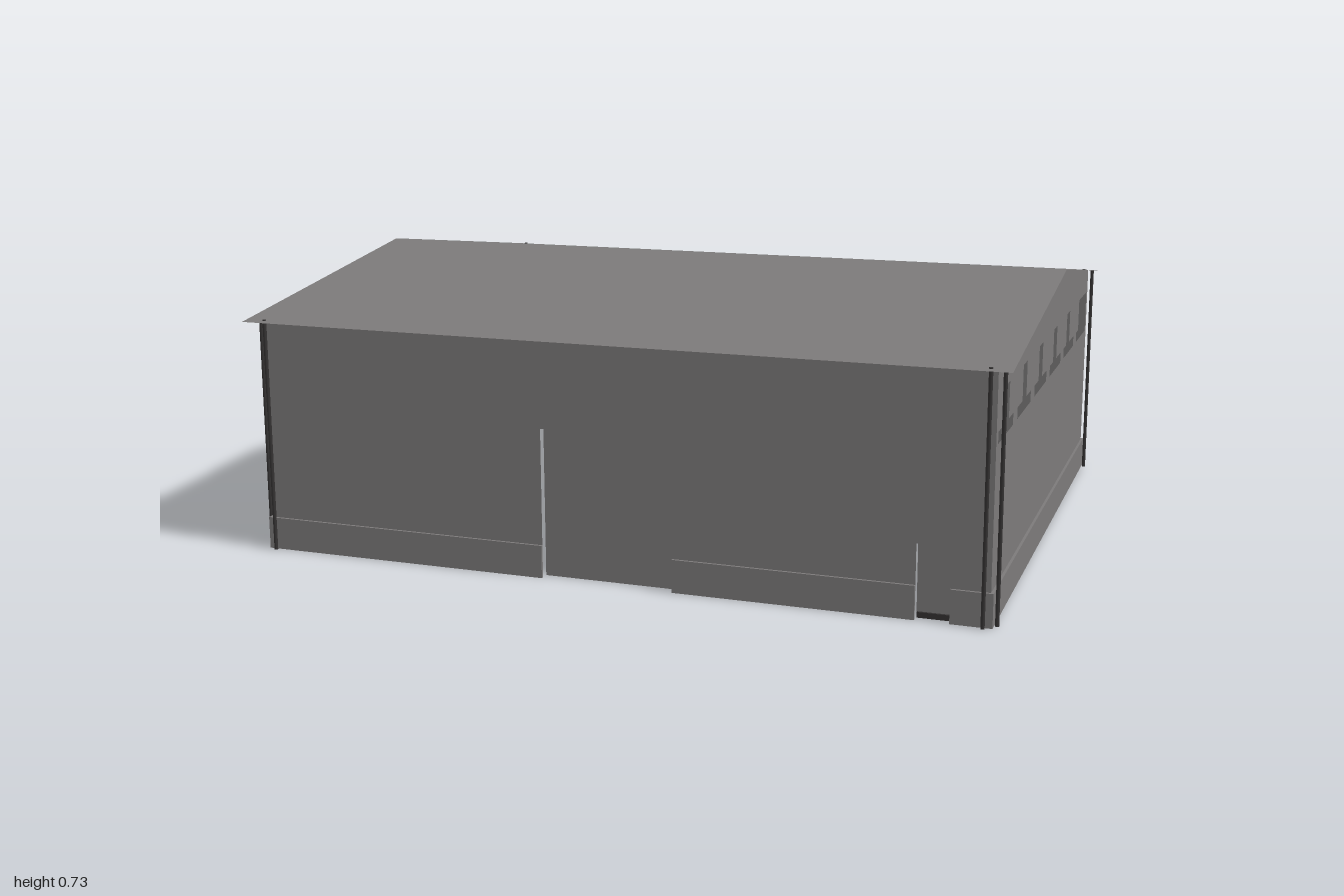
import * as THREE from 'three';

export function createModel() {
  const group = new THREE.Group();
  group.name = 'warehouse';
  const grey = new THREE.MeshStandardMaterial({ color: 0x7c7a7a, side: THREE.DoubleSide });
  grey.name = 'sheet grey';
  const dark = new THREE.MeshStandardMaterial({ color: 0x343232 });
  dark.name = 'pipe dark grey';

  const W = 0.962, D = 0.79;            // half width and half depth of the walls
  const RIDGE = 0.733, EAVE = 0.616, RX = 1, RZ = 0.826;
  const roofY = z => RIDGE - (RIDGE - EAVE) * Math.abs(z) / RZ;
  const INSET = 0.02, PLINTH_H = 0.085, PLINTH_T = 0.007;

  const add = (name, geo, mat, x = 0, y = 0, z = 0, ry = 0) => {
    const m = new THREE.Mesh(geo, mat);
    m.name = name;
    m.position.set(x, y, z);
    m.rotation.y = ry;
    group.add(m);
    return m;
  };
  const shapeOf = pts => new THREE.Shape(pts.map(p => new THREE.Vector2(...p)));
  const rect = (x0, x1, y0, y1) => [[x0, y0], [x1, y0], [x1, y1], [x0, y1]];

  // Front wall with notches for the main door and the small side door
  const top = roofY(D);
  const doors = [
    { name: 'mainDoor', x0: -0.176, x1: 0.174, h: 0.387 },
    { name: 'sideDoor', x0: 0.783, x1: 0.867, h: 0.187 },
  ];
  const outline = [[-W, 0]];
  for (const d of doors) outline.push([d.x0, 0], [d.x0, d.h], [d.x1, d.h], [d.x1, 0]);
  outline.push([W, 0], [W, top], [-W, top]);
  add('frontWall', new THREE.ShapeGeometry(shapeOf(outline)), grey, 0, 0, D);
  add('backWall', new THREE.ShapeGeometry(shapeOf(rect(-W, W, 0, top))), grey, 0, 0, -D, Math.PI);

  // Door panels set back behind their openings
  for (const d of doors) {
    add(d.name, new THREE.ShapeGeometry(shapeOf(rect(d.x0, d.x1, 0, d.h))), grey, 0, 0, D - INSET);
  }
  add('sideDoorSill', new THREE.BoxGeometry(0.08, 0.014, 0.006), dark, 0.825, 0.007, D - INSET + 0.004);

  // Gable walls with a row of six windows, panes set back
  const wy0 = 0.435, wy1 = 0.555, half = 0.102;
  for (const s of [1, -1]) {
    const side = s > 0 ? 'left' : 'right';
    const gable = shapeOf([[-D, 0], [D, 0], [D, top], [0, RIDGE], [-D, top]]);
    for (let i = 0; i < 6; i++) {
      const c = (i - 2.5) * 0.2655;
      const r = rect(c - half, c + half, wy0, wy1);
      gable.holes.push(new THREE.Path(r.map(p => new THREE.Vector2(...p))));
      add(side + 'WindowPane', new THREE.ShapeGeometry(shapeOf(r)), grey,
        s * (W - INSET), 0, 0, s * Math.PI / 2);
    }
    add(side + 'GableWall', new THREE.ShapeGeometry(gable), grey, s * W, 0, 0, s * Math.PI / 2);
  }

  // Plinth strips, broken at the doors
  const stops = [-W - PLINTH_T, ...doors.flatMap(d => [d.x0, d.x1]), W + PLINTH_T];
  const strip = (x0, x1, z) => add('plinth',
    new THREE.BoxGeometry(x1 - x0, PLINTH_H, PLINTH_T), grey, (x0 + x1) / 2, PLINTH_H / 2, z);
  for (let i = 0; i < stops.length; i += 2) strip(stops[i], stops[i + 1], D + PLINTH_T / 2);
  strip(stops[0], stops[stops.length - 1], -D - PLINTH_T / 2);
  for (const s of [1, -1]) {
    add('plinth', new THREE.BoxGeometry(PLINTH_T, PLINTH_H, 2 * D), grey,
      s * (W + PLINTH_T / 2), PLINTH_H / 2, 0);
  }

  // Thin pitched roof sheets
  for (const s of [1, -1]) {
    const len = Math.hypot(RZ, RIDGE - EAVE);
    const geo = new THREE.PlaneGeometry(2 * RX, len);
    geo.rotateX(-Math.PI / 2 + Math.atan2(RIDGE - EAVE, RZ));
    add(s > 0 ? 'frontRoof' : 'backRoof', geo, grey,
      0, (RIDGE + EAVE) / 2, s * RZ / 2, s > 0 ? 0 : Math.PI);
  }

  // Two pipes at every corner
  const pipe = (x, z, h) => add('cornerPipe',
    new THREE.CylinderGeometry(0.005, 0.005, h, 10), dark, x, h / 2, z);
  for (const sx of [1, -1]) {
    for (const sz of [1, -1]) {
      pipe(sx * 0.947, sz * 0.804, 0.621);
      pipe(sx * 0.976, sz * 0.775, 0.621);
    }
  }
  return group;
}
